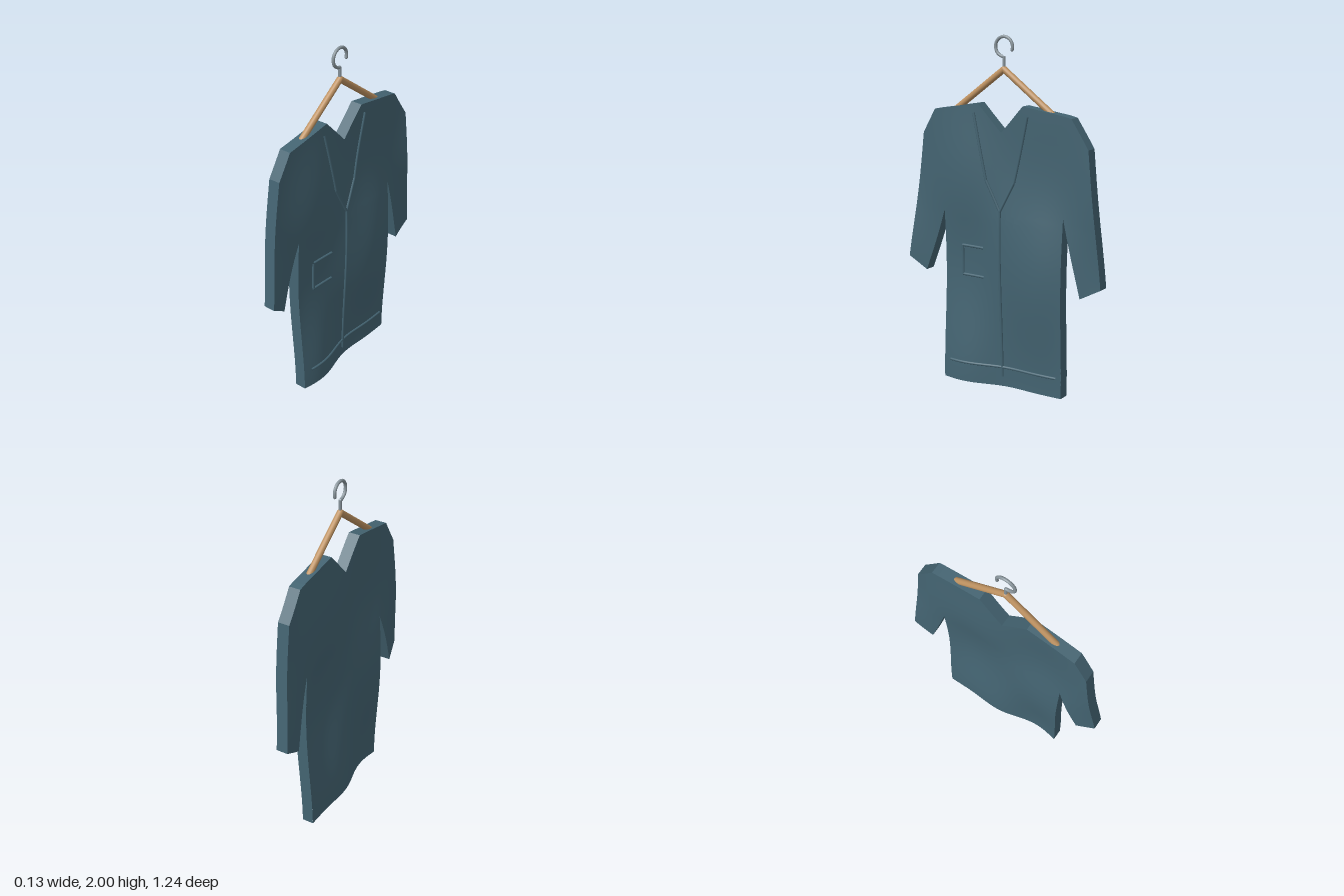
import * as THREE from 'three';

const HALF = 0.034; // half the cloth thickness
const STEPS = 16;   // subdivisions per outline edge

// Gentle folds: sideways offset of the cloth at (z, y)
function drape(z, y) {
  const fade = Math.max(0, Math.min(1, (1.65 - y) * 1.5));
  const sway = 0.024 * Math.sin(6.4 * z) * Math.cos(4.6 * y);
  const ripple = -0.008 * Math.cos(13 * z);
  const middle = (0.004 - 0.016 * Math.cos(3.6 * y)) * Math.exp(-((z / 0.16) ** 2));
  return -0.005 + fade * (sway + ripple + middle);
}

// Point at parameter t (0..1) of a polyline of [z, y] points
function along(line, t) {
  const f = t * (line.length - 1);
  const i = Math.min(Math.floor(f), line.length - 2);
  return [0, 1].map((k) => line[i][k] + (line[i + 1][k] - line[i][k]) * (f - i));
}

// Draped sheet ruled between two polylines; side = 1 front, -1 back
function sheet(lineA, lineB, nv, side) {
  const nu = (lineA.length - 1) * STEPS;
  const pos = [], nor = [], idx = [];
  const e = 0.002;
  for (let i = 0; i <= nu; i++) {
    const a = along(lineA, i / nu), b = along(lineB, i / nu);
    for (let j = 0; j <= nv; j++) {
      const z = a[0] + (b[0] - a[0]) * (j / nv);
      const y = a[1] + (b[1] - a[1]) * (j / nv);
      pos.push(drape(z, y) + side * HALF, y, z);
      const n = new THREE.Vector3(1,
        -(drape(z, y + e) - drape(z, y - e)) / (2 * e),
        -(drape(z + e, y) - drape(z - e, y)) / (2 * e)).normalize().multiplyScalar(side);
      nor.push(n.x, n.y, n.z);
    }
  }
  // Orient every triangle outward
  const tri = (a, b, c) => {
    const Y = (k) => pos[k * 3 + 1], Z = (k) => pos[k * 3 + 2];
    const nx = (Y(b) - Y(a)) * (Z(c) - Z(a)) - (Z(b) - Z(a)) * (Y(c) - Y(a));
    if (nx * side > 0) idx.push(a, b, c); else idx.push(a, c, b);
  };
  for (let i = 0; i < nu; i++) for (let j = 0; j < nv; j++) {
    const a = i * (nv + 1) + j, c = a + nv + 1;
    tri(a, a + 1, c);
    tri(a + 1, c + 1, c);
  }
  const g = new THREE.BufferGeometry();
  g.setAttribute('position', new THREE.Float32BufferAttribute(pos, 3));
  g.setAttribute('normal', new THREE.Float32BufferAttribute(nor, 3));
  g.setIndex(idx);
  return g;
}

// Narrow edge strip running round the closed outline
function rim(outline) {
  const pos = [], idx = [];
  outline.forEach((p, k) => {
    const q = outline[(k + 1) % outline.length];
    const base = pos.length / 3;
    for (let i = 0; i <= STEPS; i++) {
      const [z, y] = along([p, q], i / STEPS), x = drape(z, y);
      pos.push(x + HALF, y, z, x - HALF, y, z);
      const a = base + i * 2;
      if (i < STEPS) idx.push(a, a + 1, a + 2, a + 1, a + 3, a + 2);
    }
  });
  const g = new THREE.BufferGeometry();
  g.setAttribute('position', new THREE.Float32BufferAttribute(pos, 3));
  g.setIndex(idx);
  g.computeVertexNormals();
  return g;
}

export function createModel() {
  const model = new THREE.Group();
  const material = (name, color) => {
    const m = new THREE.MeshStandardMaterial({ color });
    m.name = name;
    return m;
  };
  const cloth = material('blue grey cloth', 0x446472);
  const wood = material('light wood', 0xbd9160);
  const metal = material('grey metal', 0x88949b);
  const add = (parent, name, geo, mat) => {
    const mesh = new THREE.Mesh(geo, mat);
    mesh.name = name;
    parent.add(mesh);
    return mesh;
  };

  // Coat panels as [z, y] edge lines
  const hem = [[-0.385, 0], [-0.14, 0], [0, 0], [0.15, 0], [0.38, 0]];
  const top = [[-0.4, 1.587], [-0.14, 1.625], [0, 1.47], [0.15, 1.625], [0.385, 1.584]];
  const innerL = [[0.385, 1.584], [0.384, 1.4], [0.383, 1.0], [0.515, 0.625]];
  const outerL = [[0.44, 1.575], [0.523, 1.435], [0.568, 1.1], [0.622, 0.7]];
  const innerR = [[-0.4, 1.587], [-0.3975, 1.4], [-0.394, 1.04], [-0.5, 0.6]];
  const outerR = [[-0.44, 1.578], [-0.545, 1.42], [-0.58, 1.08], [-0.622, 0.665]];
  const coat = new THREE.Group();
  coat.name = 'coat';
  model.add(coat);
  const panels = [['body', hem, top, 40], ['leftSleeve', innerL, outerL, 16], ['rightSleeve', innerR, outerR, 16]];
  for (const [name, a, b, nv] of panels) {
    add(coat, name + 'Front', sheet(a, b, nv, 1), cloth);
    add(coat, name + 'Back', sheet(a, b, nv, -1), cloth);
  }
  const edge = [
    hem[0], innerR[2], innerR[3], ...[...outerR].reverse(), ...top,
    ...outerL, innerL[3], innerL[2], ...hem.slice(1).reverse(),
  ];
  add(coat, 'coatEdge', rim(edge), cloth);

  // Raised seams lying on the front
  const seams = {
    collarSeamA: [[0.175, 1.57], [0.09, 1.2], [0, 1.03]],
    collarSeamB: [[-0.17, 1.57], [-0.085, 1.2], [0, 1.03]],
    placket: [[0, 1.035], [0, 0.06]],
    hemSeam: [[0.33, 0.115], [-0.355, 0.115]],
    pocketSeam: [[0.115, 0.805], [0.262, 0.805], [0.262, 0.633], [0.115, 0.633]],
  };
  for (const [name, line] of Object.entries(seams)) {
    for (let k = 0; k < line.length - 1; k++) {
      const pts = [];
      for (let i = 0; i <= STEPS; i++) {
        const [z, y] = along([line[k], line[k + 1]], i / STEPS);
        pts.push(new THREE.Vector3(drape(z, y) + HALF + 0.002, y, z));
      }
      add(coat, name, new THREE.TubeGeometry(new THREE.CatmullRomCurve3(pts), 32, 0.008, 8), cloth);
    }
  }

  // Wooden hanger with a metal hook
  const hanger = new THREE.Group();
  hanger.name = 'hanger';
  hanger.position.x = -0.006;
  model.add(hanger);
  for (const s of [-1, 1]) {
    const path = new THREE.LineCurve3(new THREE.Vector3(0, 1.815, 0), new THREE.Vector3(0, 1.568, s * 0.332));
    add(hanger, 'hangerArm', new THREE.TubeGeometry(path, 1, 0.018, 16), wood);
  }
  add(hanger, 'hangerPeak', new THREE.SphereGeometry(0.018, 16, 12), wood).position.y = 1.815;
  add(hanger, 'hookStem', new THREE.CylinderGeometry(0.009, 0.009, 0.07, 12), metal).position.y = 1.85;
  const hook = add(hanger, 'hook', new THREE.TorusGeometry(0.054, 0.009, 12, 40, Math.PI * 1.6), metal);
  hook.position.y = 1.937;
  hook.rotation.set(0, Math.PI / 2, 0);
  hook.geometry.rotateZ(-0.1 * Math.PI);
  add(hanger, 'hookTip', new THREE.SphereGeometry(0.009, 12, 8), metal)
    .position.set(0, 1.937 - 0.054 * Math.sin(0.1 * Math.PI), -0.054 * Math.cos(0.1 * Math.PI));
  return model;
}
